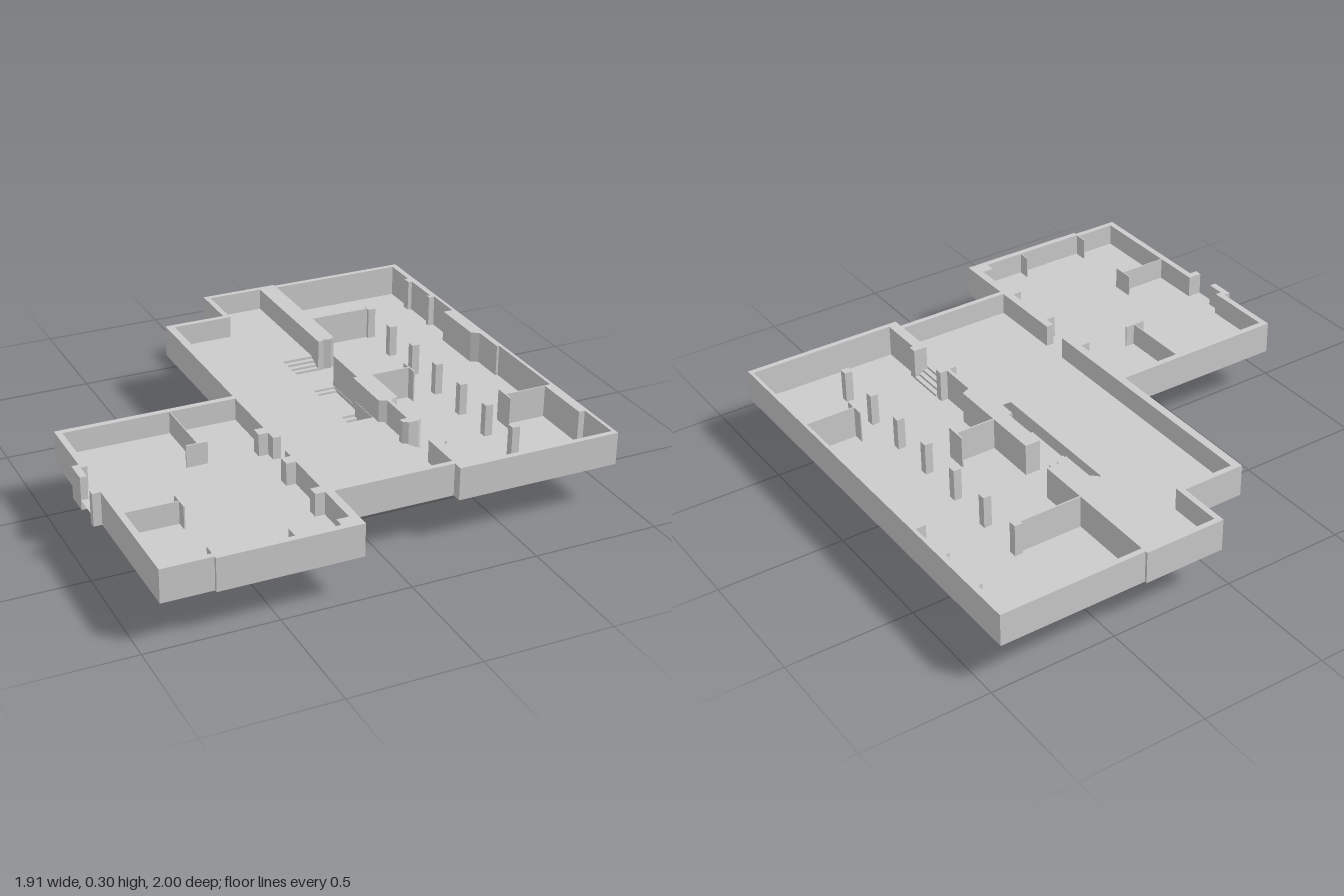
import * as THREE from 'three';

const LOW = 0.17, HIGH = 0.21, TOP = 0.3;
const mat = new THREE.MeshStandardMaterial({ color: 0xcccccc, flatShading: true, side: THREE.DoubleSide });

// plan shape from [x, z] pairs
const plan = pts => new THREE.Shape(pts.map(([x, z]) => new THREE.Vector2(x, -z)));
const rect = (x0, z0, x1, z1) => [[x0, z0], [x1, z0], [x1, z1], [x0, z1]];

export function createModel() {
  const root = new THREE.Group();
  const add = (name, geo) => {
    const m = new THREE.Mesh(geo, mat);
    m.name = name;
    root.add(m);
  };

  // walls are hollow underneath: drop the bottom cap of the extrusion
  const wall = (name, pts) => {
    const g = new THREE.ExtrudeGeometry(plan(pts), { depth: TOP - LOW, bevelEnabled: false });
    g.rotateX(-Math.PI / 2).translate(0, LOW, 0);
    const p = g.attributes.position, keep = [];
    for (let i = 0; i < p.count; i += 3) {
      if (Math.max(p.getY(i), p.getY(i + 1), p.getY(i + 2)) > LOW + 0.01) keep.push(i, i + 1, i + 2);
    }
    g.clearGroups();
    g.setIndex(keep);
    add(name, g);
  };
  const floor = (name, y, pts) =>
    add(name, new THREE.ShapeGeometry(plan(pts)).rotateX(-Math.PI / 2).translate(0, y, 0));
  // side profile of [z, y] pairs extruded between two x positions
  const profile = (name, pts, x0, x1) => {
    const s = new THREE.Shape(pts.map(([z, y]) => new THREE.Vector2(z, y)));
    const g = new THREE.ExtrudeGeometry(s, { depth: x1 - x0, bevelEnabled: false });
    add(name, g.rotateY(-Math.PI / 2).translate(x1, 0, 0));
  };

  // side wing: wall with a door gap to the outside
  wall('wingWall', [
    [-0.957, 0.3], [-0.957, 0.205], [-0.93, 0.205], [-0.93, -0.075], [-0.215, -0.075],
    [-0.215, -0.05], [-0.905, -0.05], [-0.905, 0.23], [-0.93, 0.23], [-0.93, 0.3]]);
  wall('wingFrontWall', [
    [-0.957, 0.4], [-0.957, 0.428], [-0.925, 0.428], [-0.925, 0.988], [-0.73, 0.988], [-0.73, 1],
    [-0.185, 1], [-0.185, 0.412], [-0.217, 0.412], [-0.217, 0.458], [-0.255, 0.458], [-0.255, 0.505],
    [-0.217, 0.505], [-0.217, 0.705], [-0.255, 0.705], [-0.255, 0.748], [-0.217, 0.748],
    [-0.217, 0.935], [-0.265, 0.935], [-0.265, 0.975], [-0.73, 0.975], [-0.73, 0.965], [-0.9, 0.965], [-0.9, 0.4]]);

  // middle hall, with the thick wall block that separates it from the large room
  wall('hallWall', [
    [-0.217, 0.305], [-0.185, 0.305], [-0.185, -0.762], [0.063, -0.762], [0.063, -0.978], [0.292, -0.978],
    [0.292, -0.388], [0.315, -0.388], [0.315, -0.4], [0.35, -0.388], [0.35, -0.4], [0.367, -0.4],
    [0.367, -1], [0.04, -1], [0.04, -0.785], [-0.217, -0.785], [-0.217, 0.215],
    [-0.255, 0.215], [-0.255, 0.26], [-0.217, 0.26]]);
  wall('hallFrontWall', rect(-0.185, 0.731, 0.292, 0.753));

  // large room with stepped inner face
  wall('largeRoomWall', [
    [0.367, -0.99], [0.952, -0.99], [0.952, 0.793], [0.292, 0.793], [0.292, 0.555], [0.348, 0.555], [0.348, 0.59],
    [0.334, 0.59], [0.334, 0.771], [0.938, 0.771], [0.938, 0.588], [0.913, 0.588], [0.913, 0.343], [0.938, 0.343],
    [0.938, -0.05], [0.928, -0.05], [0.928, -0.19], [0.898, -0.21], [0.898, -0.442], [0.938, -0.442],
    [0.938, -0.6], [0.913, -0.6], [0.913, -0.62], [0.928, -0.62], [0.928, -0.785], [0.911, -0.785],
    [0.911, -0.822], [0.928, -0.822], [0.928, -0.968], [0.367, -0.968]]);

  // wall beside the stairs, with the thin wall and pier beyond it
  wall('stairWall', [
    [0.289, -0.24], [0.352, -0.24], [0.352, 0.19], [0.317, 0.205], [0.317, 0.36], [0.348, 0.36], [0.348, 0.39],
    [0.333, 0.4], [0.292, 0.4], [0.272, 0.387], [0.272, 0.365], [0.302, 0.365], [0.302, 0.205],
    [0.272, 0.193], [0.272, -0.03], [0.289, -0.03]]);

  // thin partitions with a crossing end panel
  [[-0.486, -0.05, -0.482, 0.23], [-0.53, 0.226, -0.445, 0.232],
    [-0.9, 0.594, -0.7, 0.598], [-0.701, 0.55, -0.696, 0.64],
    [-0.73, 0.92, -0.725, 0.972], [-0.436, 0.925, -0.432, 0.972],
    [0.367, -0.61, 0.62, -0.604],
    [0.352, -0.027, 0.515, -0.021], [0.512, -0.065, 0.518, 0.02],
    [0.738, 0.339, 0.938, 0.344], [0.735, 0.295, 0.74, 0.385]
  ].forEach(r => wall('partition', rect(...r)));

  // row of columns
  for (let i = 0; i < 7; i++) {
    const z = -0.606 + i * 0.198;
    wall('column', rect(0.62, z - 0.016, 0.652, z + 0.016));
  }

  // raised floors of the wing and hall; the hall floor is cut back around the stairwell
  floor('wingFloor', HIGH, [
    [-0.905, -0.05], [-0.217, -0.05], [-0.217, 0.305], [-0.185, 0.305], [-0.185, 0.412], [-0.217, 0.412],
    [-0.217, 0.975], [-0.73, 0.975], [-0.73, 0.965], [-0.9, 0.965], [-0.9, 0.4], [-0.957, 0.4],
    [-0.957, 0.3], [-0.93, 0.3], [-0.93, 0.23], [-0.905, 0.23]]);
  floor('hallFloor', HIGH, [
    [-0.185, -0.762], [0.063, -0.762], [0.063, -0.978], [0.292, -0.978], [0.292, -0.45],
    [0.16, -0.45], [0.16, 0.15], [0.292, 0.15], [0.292, 0.731], [-0.185, 0.731]]);

  // lower floor of the large room, reaching the top of the stairs
  floor('largeRoomFloor', LOW, [
    [0.292, -0.99], [0.952, -0.99], [0.952, 0.793], [0.292, 0.793], [0.292, -0.24],
    [0.16, -0.24], [0.16, -0.39], [0.292, -0.39]]);

  // three steps from the hall down to the landing, and three into the large room
  const drop = (HIGH - LOW) / 4;
  for (let i = 0; i < 3; i++) {
    const y = HIGH - (i + 1) * drop, z = -0.45 + i * 0.02;
    profile('hallStep', [[z, y + drop], [z, y - drop], [z + 0.02, y - drop], [z + 0.02, y], [z + 0.003, y],
      [z + 0.003, y + drop]], 0.16, 0.292);
    const h = y - LOW;
    add('roomStep', new THREE.BoxGeometry(0.019, h, 0.155).translate(0.3015 + i * 0.019, LOW + h / 2, 0.4775));
  }
  add('roomStepRiser', new THREE.BoxGeometry(0.002, HIGH - LOW, 0.155).translate(0.291, (LOW + HIGH) / 2, 0.4775));

  // stairs down: stepped slab between closed side panels
  const n = 14, run = 0.28 / n, rise = 0.145 / n;
  const under = [], tread = [];
  for (let i = 0; i < n; i++) {
    const z = i * run, y = 0.145 - (i + 1) * rise;
    under.push([z, y], [z + run, y]);
    tread.push([z, y + rise], [z + run, y + rise]);
  }
  profile('stairFlight', [...under, ...tread.reverse()], 0.16, 0.27);
  const side = [...under, [0.28, 0.14], [0.265, 0.14], [0.265, HIGH], [0, HIGH]];
  [0.16, 0.268].forEach(x => profile('stairSide', side, x, x + 0.002));
  profile('stairEnd', [
    [0.28, 0], [0.28, 0.14], [0.265, 0.14], [0.265, HIGH], [0.263, HIGH], [0.263, 0.138], [0.278, 0.138], [0.278, 0]],
  0.16, 0.27);

  // lower landing with its short steps
  profile('landing', [
    [0, 0.145], [-0.205, 0.145], [-0.205, 0.153], [-0.225, 0.153], [-0.225, 0.162], [-0.24, 0.162],
    [-0.24, 0.17], [-0.225, 0.17], [-0.225, 0.162], [-0.205, 0.162], [-0.205, 0.154], [0, 0.154]], 0.16, 0.289);
  const edge = [[0, 0.145], [-0.205, 0.145], [-0.225, 0.153], [-0.24, 0.162]];
  profile('landingSide', [...edge, [-0.24, LOW], [-0.45, LOW], [-0.45, HIGH], [0, HIGH]], 0.16, 0.162);
  profile('landingSide', [...edge, [-0.24, LOW], [0, LOW]], 0.287, 0.289);
  return root;
}
